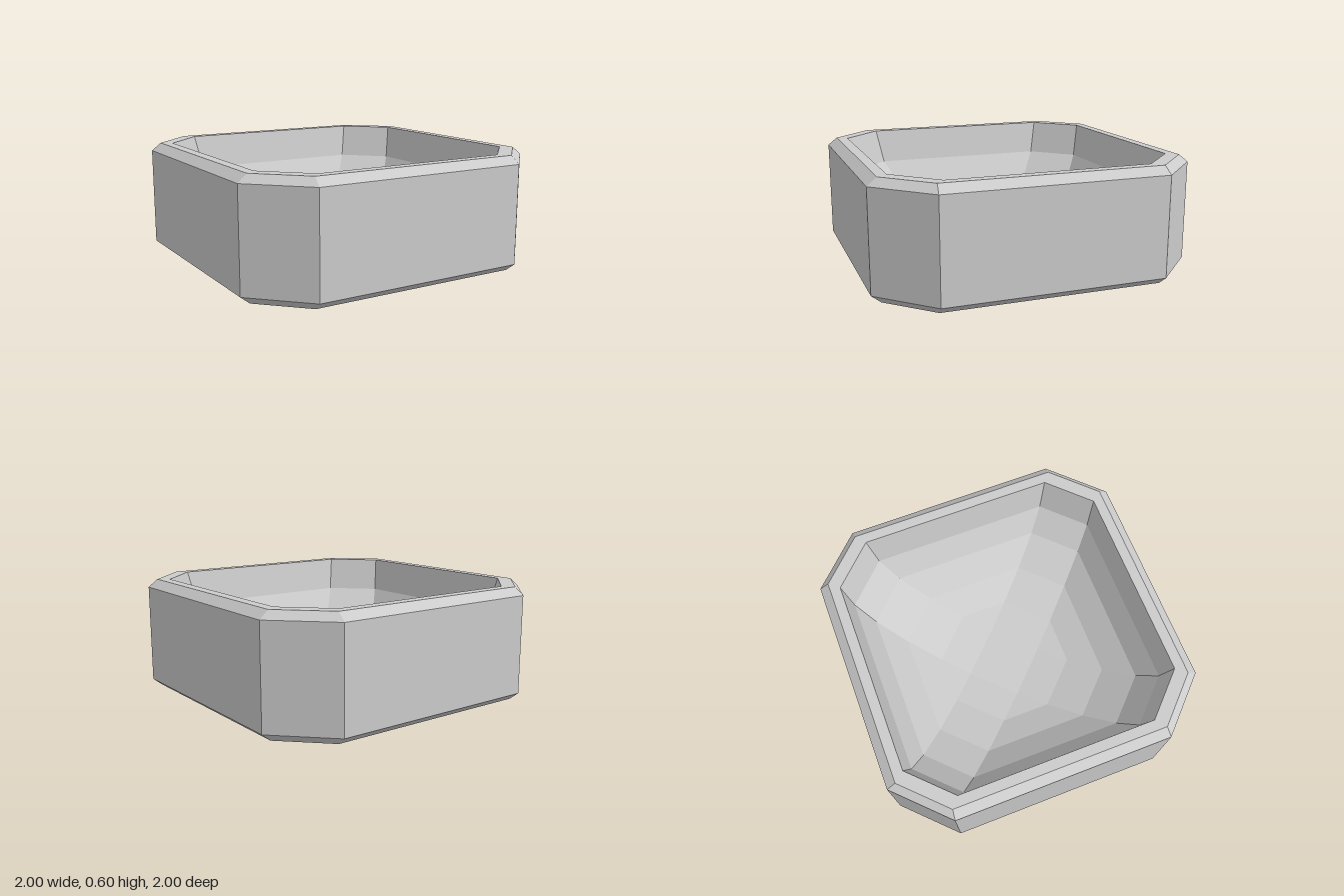
import * as THREE from 'three';

const material = new THREE.MeshStandardMaterial({ color: 0xcccccc, flatShading: true });

// Corners of a square with cut corners, turned 45 degrees: reach a, half edge b
const ring = ([a, b, y]) => [
  [a, y, b], [a, y, -b], [b, y, -a], [-b, y, -a],
  [-a, y, -b], [-a, y, b], [-b, y, a], [b, y, a],
];

// Skins a list of [a, b, y] rings; optional flat caps close the ends
function skin(name, sections, capStart, capEnd) {
  const pos = [];
  const rings = sections.map(ring);
  for (let i = 0; i + 1 < rings.length; i++) {
    for (let j = 0; j < 8; j++) {
      const k = (j + 1) % 8;
      const [p, q, r, s] = [rings[i][j], rings[i][k], rings[i + 1][k], rings[i + 1][j]];
      pos.push(...p, ...q, ...r, ...p, ...r, ...s);
    }
  }
  const cap = (points) => {
    for (let j = 1; j < 7; j++) pos.push(...points[0], ...points[j], ...points[j + 1]);
  };
  if (capStart) cap([...rings[0]].reverse());
  if (capEnd) cap(rings[rings.length - 1]);
  const geometry = new THREE.BufferGeometry();
  geometry.setAttribute('position', new THREE.Float32BufferAttribute(pos, 3));
  geometry.computeVertexNormals();
  const mesh = new THREE.Mesh(geometry, material);
  mesh.name = name;
  return mesh;
}

export function createModel() {
  const group = new THREE.Group();
  group.name = 'bowl';

  // Chamfered outer wall with a closed base
  group.add(skin('outerShell', [
    [0.96, 0.155, 0], [1, 0.185, 0.04], [1, 0.185, 0.56], [0.96, 0.155, 0.6],
  ], true, false));

  // Flat rim between the wall and the hollow
  group.add(skin('rim', [[0.96, 0.155, 0.6], [0.89, 0.148, 0.6]], false, false));

  // Rounded hollow, stepping down to a small square floor
  const profile = [[0.89, 0.6], [0.84, 0.415], [0.73, 0.28], [0.545, 0.16], [0.335, 0.085], [0.149, 0.055]];
  group.add(skin('hollow', profile.map(([a, y]) => [a, 0.148, y]), false, true));

  return group;
}
